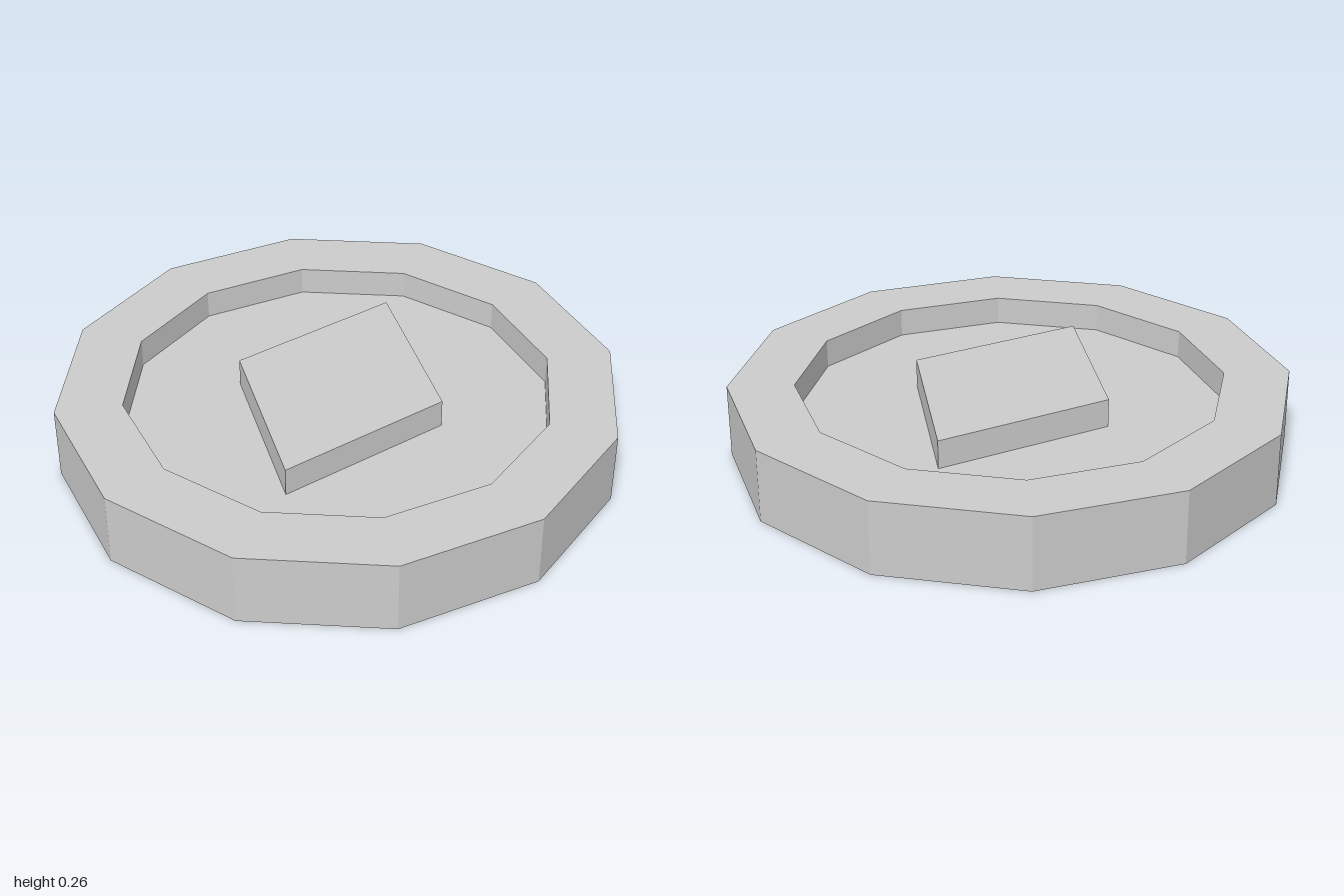
import * as THREE from 'three';

const HEIGHT = 0.265;  // full thickness of the coin
const DEPTH = 0.103;   // depth of the recess on each face
const SIDES = 12;

export function createModel() {
  const coin = new THREE.Group();
  coin.name = 'coin';
  const material = new THREE.MeshStandardMaterial({ color: 0xcccccc, flatShading: true });

  // Twelve-sided disc: raised rim around a thin floor, recessed on both faces
  const profile = [
    [0, DEPTH], [0.763, DEPTH], [0.763, 0], [1, 0],
    [1, HEIGHT], [0.763, HEIGHT], [0.763, HEIGHT - DEPTH], [0, HEIGHT - DEPTH],
  ].map(([r, y]) => new THREE.Vector2(r, y));
  const disc = new THREE.Mesh(new THREE.LatheGeometry(profile, SIDES), material);
  disc.name = 'rimAndFloor';
  coin.add(disc);

  // Raised diamond on each face, flush with the rim
  const diamondGeometry = new THREE.CylinderGeometry(1, 1, DEPTH, 4);
  diamondGeometry.scale(0.38, 1, 0.541);
  for (const [name, y] of [['topDiamond', HEIGHT - DEPTH / 2], ['bottomDiamond', DEPTH / 2]]) {
    const diamond = new THREE.Mesh(diamondGeometry, material);
    diamond.name = name;
    diamond.position.set(0, y, -0.004);
    coin.add(diamond);
  }
  return coin;
}
